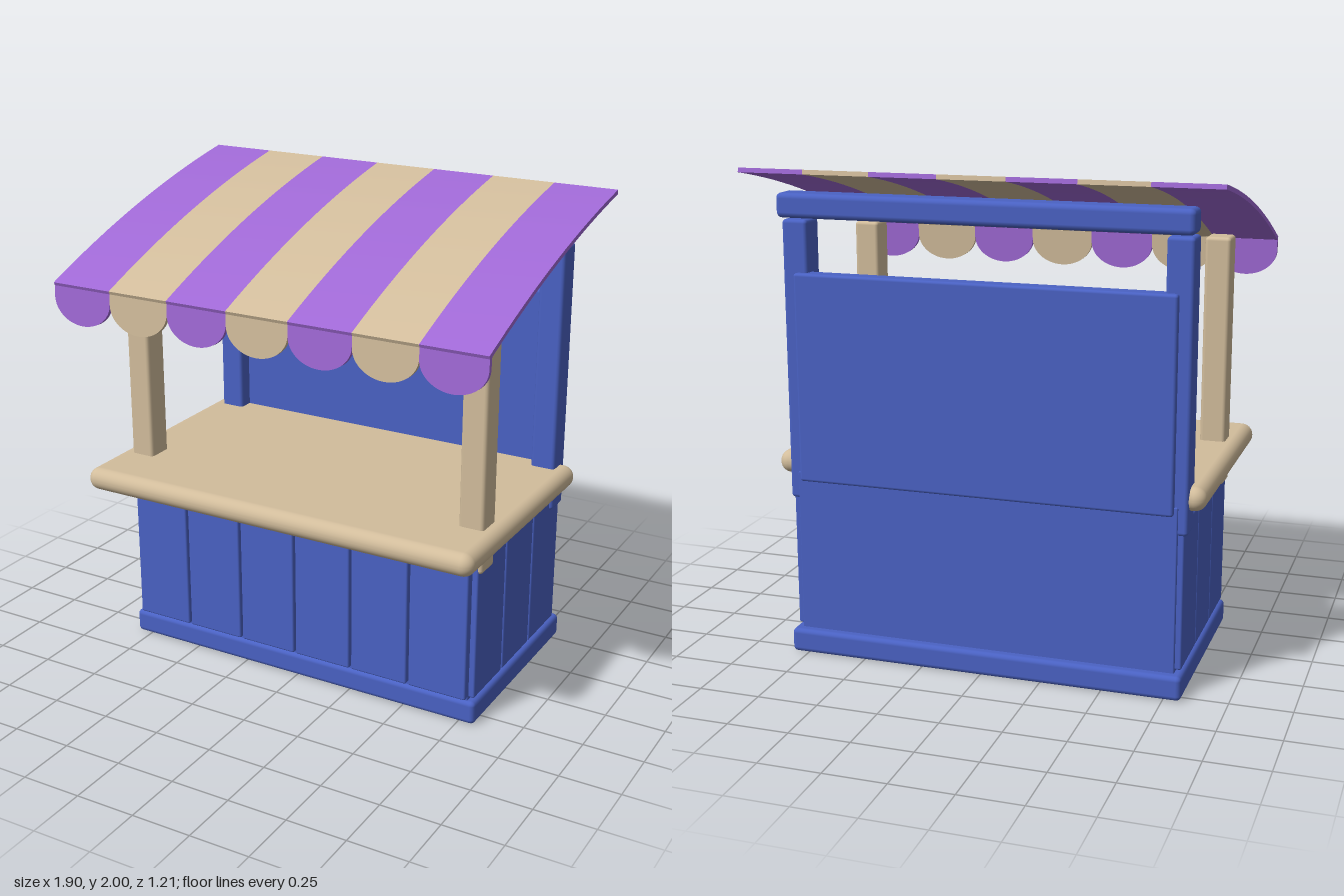
import * as THREE from 'three';
import { toCreasedNormals } from 'three/addons/utils/BufferGeometryUtils.js';
import { RoundedBoxGeometry } from 'three/addons/geometries/RoundedBoxGeometry.js';

const paint = (name, color) => {
  const m = new THREE.MeshStandardMaterial({ color });
  m.name = name;
  return m;
};

export function createModel() {
  const stall = new THREE.Group();
  stall.name = 'marketStall';
  const blue = paint('blue paint', 0x4a62c4);
  const tan = paint('tan wood', 0xd2bd9c);
  const purple = paint('purple cloth', 0xa069d6);

  // Rounded block given by its extents on each axis
  const block = (name, mat, [x0, x1], [y0, y1], [z0, z1], r = 0.015, seg = 2) => {
    const mesh = new THREE.Mesh(new RoundedBoxGeometry(x1 - x0, y1 - y0, z1 - z0, seg, r), mat);
    mesh.position.set((x0 + x1) / 2, (y0 + y1) / 2, (z0 + z1) / 2);
    mesh.name = name;
    stall.add(mesh);
  };

  // Plinth, cabinet and counter
  block('plinth', blue, [-0.82, 0.82], [0, 0.1], [-0.55, 0.34], 0.02);
  block('cabinet', blue, [-0.785, 0.785], [0.08, 0.77], [-0.512, 0.325], 0.005, 1);
  block('counter', tan, [-0.885, 0.885], [0.747, 0.843], [-0.495, 0.562], 0.047, 4);

  // Front planks
  for (let i = 0; i < 6; i++) {
    const x = -0.79 + i * 0.2633;
    block('frontPlank', blue, [x + 0.005, x + 0.2585], [0.11, 0.7], [0.31, 0.352], 0.008);
  }

  // Side planks and posts, mirrored
  for (const s of [-1, 1]) {
    const span = (a, b) => (s > 0 ? [a, b] : [-b, -a]);
    for (let i = 0; i < 3; i++) {
      const z = 0.322 - i * 0.275;
      block('sidePlank', blue, span(0.77, 0.81), [0.11, 0.7], [z - 0.27, z - 0.005], 0.008);
    }
    block('frontPost', tan, span(0.717, 0.823), [0.655, 1.695], [0.2, 0.315]);
    block('rearPost', blue, span(0.717, 0.823), [0.655, 1.793], [-0.505, -0.39]);
  }

  // Back wall and top beam
  block('backPanel', blue, [-0.77, 0.77], [0.735, 1.585], [-0.53, -0.455], 0.012);
  block('topBeam', blue, [-0.83, 0.83], [1.802, 1.9], [-0.542, -0.428], 0.022);

  // Curved awning section, drawn as (z, y) and stretched across one stripe
  const pitch = 1.9 / 7;
  const curve = new THREE.QuadraticBezierCurve(
    new THREE.Vector2(0.603, 1.642), new THREE.Vector2(0.02, 1.882), new THREE.Vector2(-0.603, 1.99));
  const top = [], bottom = [];
  for (let i = 0; i <= 16; i++) {
    const p = curve.getPoint(i / 16), t = curve.getTangent(i / 16);
    const n = new THREE.Vector2(t.y, -t.x).multiplyScalar(0.009);
    top.push(p.clone().add(n));
    bottom.push(p.clone().sub(n));
  }
  const stripeShape = new THREE.Shape([...top, ...bottom.reverse()]);
  const stripeGeo = toCreasedNormals(
    new THREE.ExtrudeGeometry(stripeShape, { depth: pitch, bevelEnabled: false })
      .rotateY(-Math.PI / 2).translate(pitch / 2, 0, 0), 0.5);

  // Scalloped flap hanging from the front edge
  const w = pitch / 2;
  const flapShape = new THREE.Shape();
  flapShape.moveTo(-w, 0);
  flapShape.lineTo(-w, -0.045);
  flapShape.absellipse(0, -0.045, w, 0.108, Math.PI, Math.PI * 2, false);
  flapShape.lineTo(w, 0);
  flapShape.closePath();
  const flapGeo = toCreasedNormals(
    new THREE.ExtrudeGeometry(flapShape, { depth: 0.018, bevelEnabled: false, curveSegments: 24 })
      .translate(0, 0, -0.009), 0.5);

  for (let i = 0; i < 7; i++) {
    const mat = i % 2 ? tan : purple;
    const x = (i - 3) * pitch;
    const stripe = new THREE.Mesh(stripeGeo, mat);
    stripe.name = 'awningStripe';
    stripe.position.x = x;
    const flap = new THREE.Mesh(flapGeo, mat);
    flap.name = 'awningFlap';
    flap.position.set(x, 1.64, 0.592);
    flap.rotation.x = -0.05;
    stall.add(stripe, flap);
  }
  return stall;
}
